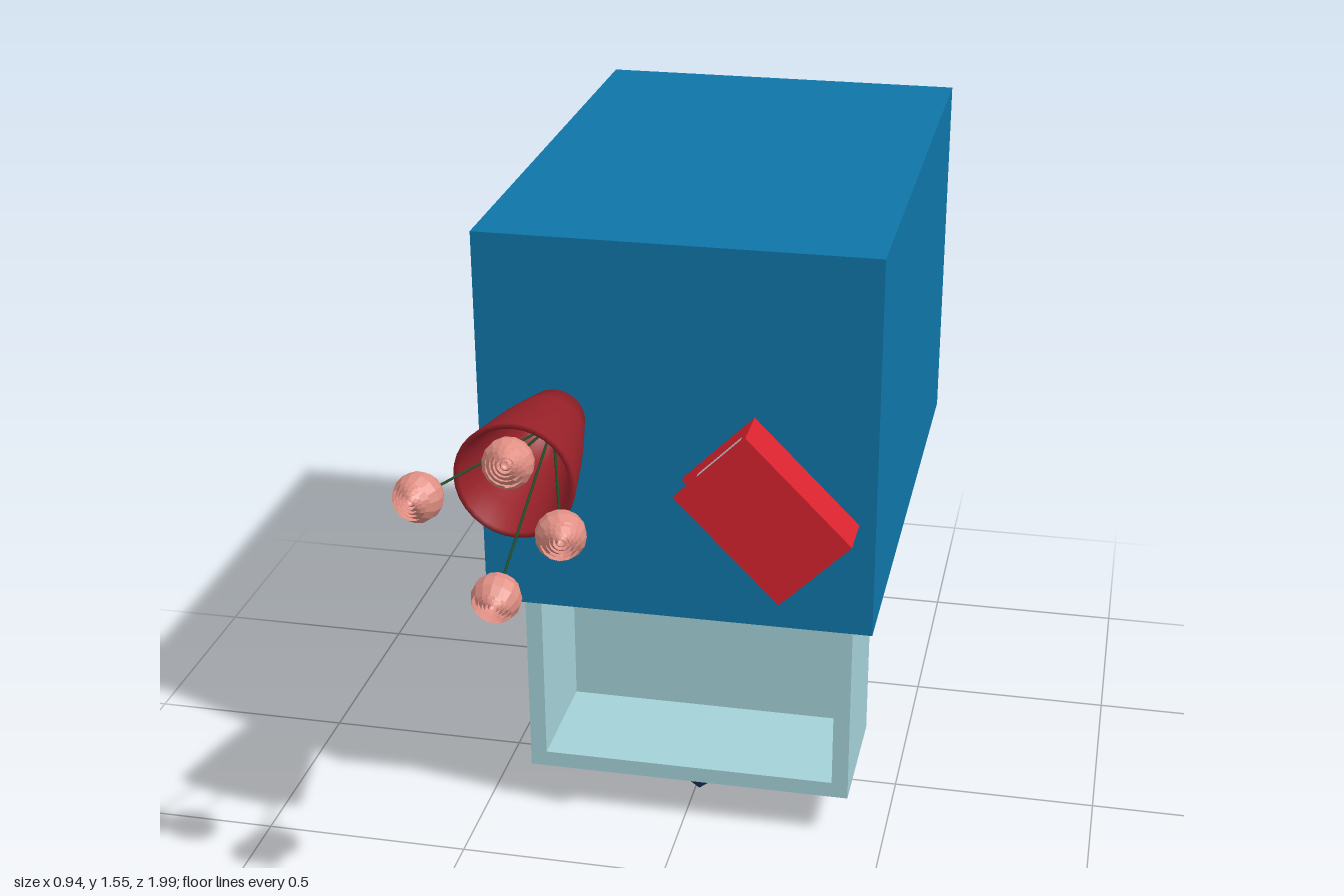
import * as THREE from 'three';

const material = (color, extra = {}) => {
  const m = new THREE.MeshStandardMaterial({ color, ...extra });
  return m;
};
const blue = material(0x0f76a8);
const pale = material(0xa4d2d8);
const navy = material(0x1f3263, { flatShading: true });
const red = material(0xd8232f);
const paper = material(0xcccccc);
const vaseRed = material(0x962028, { side: THREE.DoubleSide });
const green = material(0x1f4a26);
const pink = material(0xe08f84, { flatShading: true, side: THREE.DoubleSide });

function add(parent, name, geometry, mat) {
  const mesh = new THREE.Mesh(geometry, mat);
  mesh.name = name;
  parent.add(mesh);
  return mesh;
}

// Box given by its extents on each axis
function box(parent, name, mat, [x0, x1], [y0, y1], [z0, z1]) {
  const mesh = add(parent, name, new THREE.BoxGeometry(x1 - x0, y1 - y0, z1 - z0), mat);
  mesh.position.set((x0 + x1) / 2, (y0 + y1) / 2, (z0 + z1) / 2);
  return mesh;
}

const DRAWER_Z = [0.09, -0.32, -0.72];
const HALF = 0.17;

// Cabinet with three drawer slots opening downwards
function createCabinet() {
  const cabinet = new THREE.Group();
  cabinet.name = 'cabinet';
  const rect = (Type, x0, x1, y0, y1) => {
    const p = new Type();
    p.moveTo(x0, y0).lineTo(x1, y0).lineTo(x1, y1).lineTo(x0, y1).closePath();
    return p;
  };
  const shape = rect(THREE.Shape, -0.45, 0.47, -0.375, 1);
  for (const z of DRAWER_Z) {
    shape.holes.push(rect(THREE.Path, -0.393, 0.413, -z - HALF - 0.003, -z + HALF + 0.003));
  }
  const body = new THREE.ExtrudeGeometry(shape, { depth: 0.865, bevelEnabled: false });
  body.rotateX(-Math.PI / 2);
  add(cabinet, 'cabinetBody', body, blue).position.y = 0.645;
  box(cabinet, 'cabinetBack', blue, [-0.45, 0.47], [1.51, 1.56], [-1, 0.375]);
  return cabinet;
}

// Tray open towards +z, with a faceted knob on its front panel
function createDrawer(y, z) {
  const drawer = new THREE.Group();
  drawer.name = 'drawer';
  const x0 = -0.39, x1 = 0.41, t = 0.04, depth = 0.84;
  box(drawer, 'drawerFront', pale, [x0, x1], [0, t], [-HALF, HALF]);
  box(drawer, 'drawerBack', pale, [x0, x1], [depth - t, depth], [-HALF, HALF]);
  box(drawer, 'drawerRight', pale, [x0, x0 + t], [t, depth - t], [-HALF, HALF]);
  box(drawer, 'drawerLeft', pale, [x1 - t, x1], [t, depth - t], [-HALF, HALF]);
  box(drawer, 'drawerFloor', pale, [x0 + t, x1 - t], [t, depth - t], [-HALF, -HALF + t]);
  const knob = add(drawer, 'knob', new THREE.IcosahedronGeometry(0.058, 0), navy);
  knob.rotation.x = 0.5536;
  knob.position.set(0.01, -0.06, 0);
  drawer.position.set(0, y, z);
  return drawer;
}

// Book lying against the front, spine on its upper long edge
function createBook() {
  const book = new THREE.Group();
  book.name = 'book';
  const L = 0.1715, W = 0.114, T = 0.115, c = 0.018;
  box(book, 'backCover', red, [-L, L], [-W, W], [0, c]);
  box(book, 'frontCover', red, [-L, L], [-W, W], [T - c, T]);
  box(book, 'spine', red, [-L, L], [W - c, W], [c, T - c]);
  box(book, 'pages', paper, [-L + 0.012, L - 0.012], [-W + 0.04, W - c], [c, T - c]);
  book.position.set(0.23, 0.967, 0.375);
  book.rotation.z = -0.79;
  return book;
}

// Rose head: nested layers of overlapping curved petals around +y
function createRose() {
  const rose = new THREE.Group();
  rose.name = 'rose';
  [0.054, 0.044, 0.034, 0.024, 0.013].forEach((r, layer) => {
    for (let i = 0; i < 5; i++) {
      const open = 0.85 - layer * 0.05 + (i % 2) * 0.12;
      const geo = new THREE.SphereGeometry(r, 4, 5, 0, 1.65, open, Math.PI - open);
      const petal = add(rose, 'petal', geo, pink);
      petal.rotation.set(0.05, (i * Math.PI * 2) / 5 + layer * 0.6, 0.05 * (i % 3));
      petal.position.y = layer * 0.006;
    }
  });
  return rose;
}

// Flared vase pointing to +z, holding four roses
function createBouquet() {
  const bouquet = new THREE.Group();
  bouquet.name = 'vaseWithRoses';
  const outer = [[0.068, 0], [0.088, 0.085], [0.106, 0.17], [0.121, 0.26], [0.135, 0.345]];
  const inner = [[0.122, 0.345], [0.108, 0.26], [0.093, 0.17], [0.075, 0.085], [0.058, 0.02], [0, 0.02]];
  const profile = [[0, 0], ...outer, ...inner].map(([r, h]) => new THREE.Vector2(r, h));
  const vase = add(bouquet, 'vase', new THREE.LatheGeometry(profile, 32), vaseRed);
  vase.rotation.x = Math.PI / 2;
  vase.position.set(-0.267, 1.13, 0.375);

  const up = new THREE.Vector3(0, 1, 0);
  const heads = [[-0.21, 1.28, 0.945], [-0.415, 1.17, 0.915], [-0.112, 1.115, 0.92], [-0.255, 0.955, 0.92]];
  heads.forEach((h, i) => {
    const head = new THREE.Vector3(...h);
    const foot = new THREE.Vector3(-0.267, 1.125, 0.4);
    const dir = head.clone().sub(foot);
    const stem = add(bouquet, 'stem', new THREE.CylinderGeometry(0.003, 0.003, dir.length(), 6), green);
    stem.position.copy(foot).addScaledVector(dir, 0.5);
    stem.quaternion.setFromUnitVectors(up, dir.normalize());
    const rose = createRose();
    rose.position.copy(head);
    rose.quaternion.copy(stem.quaternion);
    rose.rotateY(i * 1.3);
    bouquet.add(rose);
  });
  return bouquet;
}

export function createModel() {
  const model = new THREE.Group();
  model.name = 'bedsideCabinet';
  model.add(createCabinet());
  // First drawer is pulled out, the others are shut
  DRAWER_Z.forEach((z, i) => model.add(createDrawer(i === 0 ? 0.12 : 0.651, z)));
  model.add(createBook(), createBouquet());
  return model;
}
